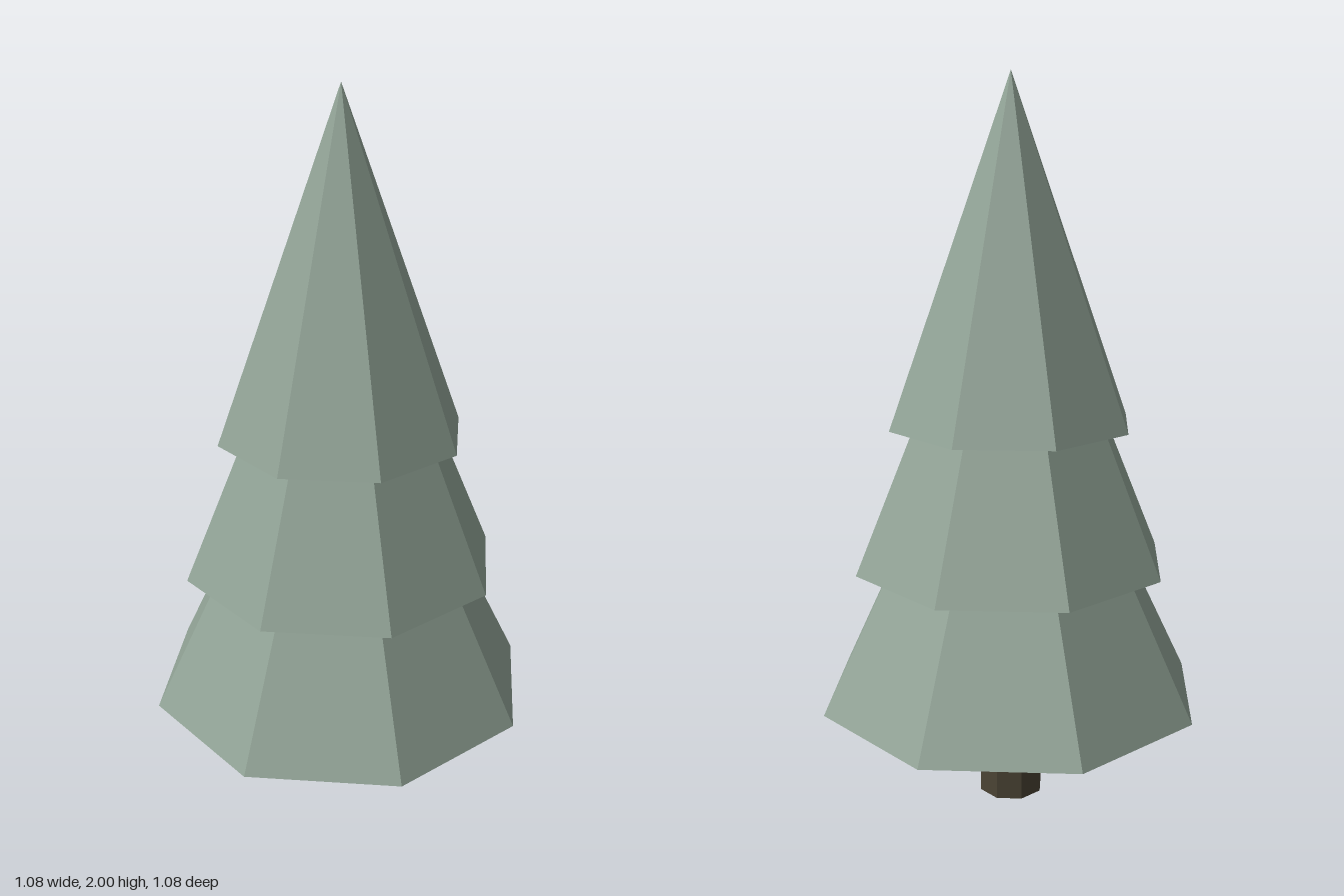
import * as THREE from 'three';

const SIDES = 8;

export function createModel() {
  const tree = new THREE.Group();
  tree.name = 'pineTree';

  const needles = new THREE.MeshStandardMaterial({ color: 0x90a295 });
  needles.name = 'needleGreen';
  const bark = new THREE.MeshStandardMaterial({ color: 0x4a4334 });
  bark.name = 'barkBrown';

  // Un-indexed geometry with face normals gives crisp facets
  const addPart = (name, geometry, material, y) => {
    const flat = geometry.toNonIndexed();
    flat.computeVertexNormals();
    const mesh = new THREE.Mesh(flat, material);
    mesh.name = name;
    mesh.position.y = y;
    tree.add(mesh);
  };

  // Slightly tapered trunk, ending just inside the lowest tier
  const trunkHeight = 0.34;
  addPart('trunk', new THREE.CylinderGeometry(0.085, 0.092, trunkHeight, SIDES), bark, trunkHeight / 2);

  // Three overlapping foliage tiers, each narrower than the one below
  const tiers = [
    { name: 'lowerFoliage', radius: 0.54, base: 0.3, apex: 1.4 },
    { name: 'middleFoliage', radius: 0.44, base: 0.69, apex: 1.73 },
    { name: 'upperFoliage', radius: 0.34, base: 1.08, apex: 2.0 },
  ];
  for (const { name, radius, base, apex } of tiers) {
    addPart(name, new THREE.ConeGeometry(radius, apex - base, SIDES), needles, (base + apex) / 2);
  }

  return tree;
}
